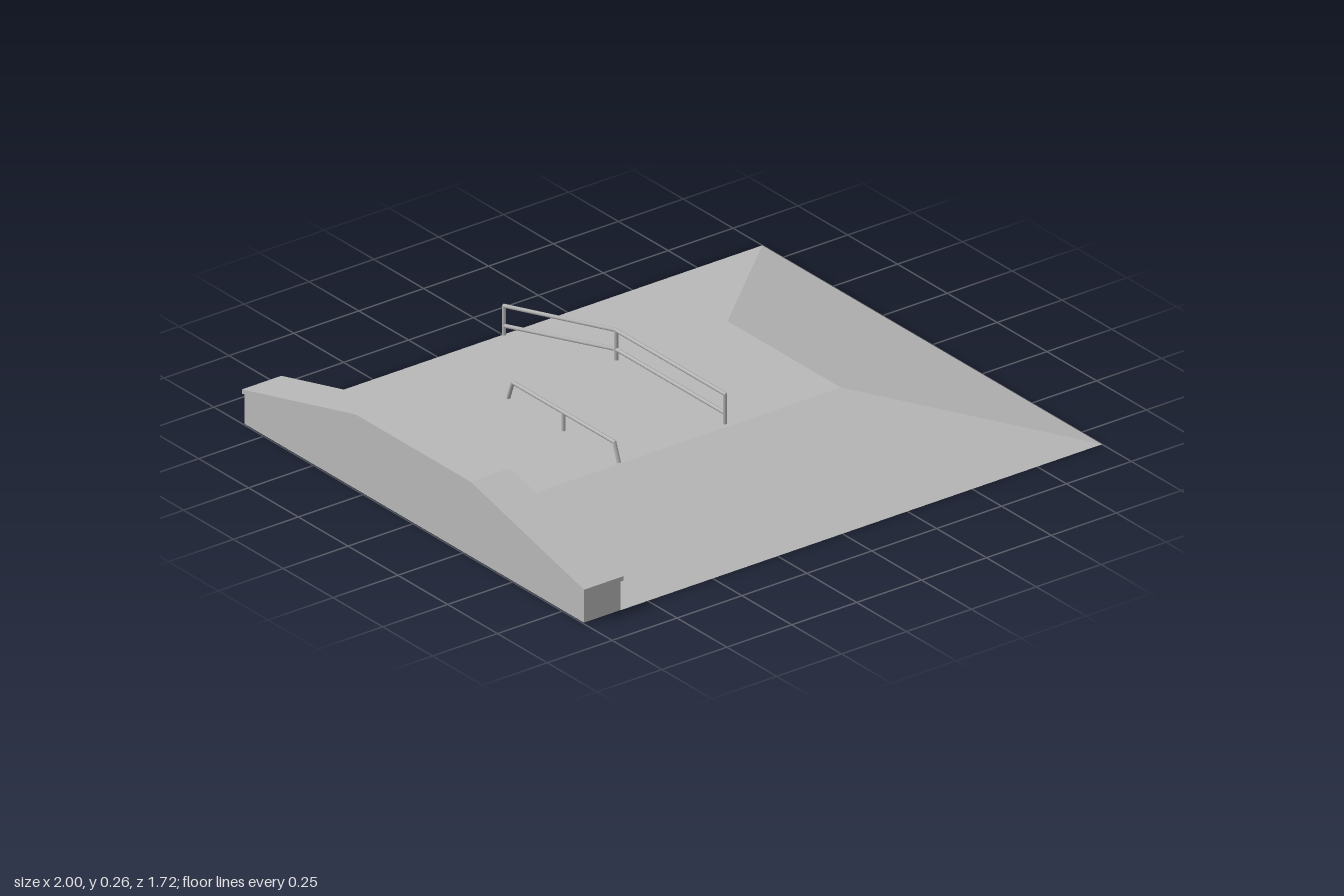
import * as THREE from 'three';

export function createModel() {
  const group = new THREE.Group();
  const concrete = new THREE.MeshStandardMaterial({ color: 0xb8b8b8, side: THREE.DoubleSide });
  concrete.name = 'concrete';
  const steel = new THREE.MeshStandardMaterial({ color: 0xb0b0b0 });
  steel.name = 'steel';

  const add = (name, geometry, material, parent = group) => {
    const mesh = new THREE.Mesh(geometry, material);
    mesh.name = name;
    parent.add(mesh);
    return mesh;
  };

  // Ramp: open-bottomed shell with a flat deck and three slopes
  const W = 0.853, D = 0.285, H = 0.142, XL = -0.853, XD = 0.43;
  const A = [XL, 0, W], B = [1, 0, W], C = [1, 0, -W], E = [XL, 0, -W];
  const a = [XL, H, D], b = [XD, H, D], c = [XD, H, -D], e = [XL, H, -D];
  const corners = [];
  for (const [p, q, r, s] of [[A, B, b, a], [B, C, c, b], [C, E, e, c], [a, b, c, e]]) {
    corners.push(...p, ...q, ...r, ...p, ...r, ...s);
  }
  const ramp = new THREE.BufferGeometry();
  ramp.setAttribute('position', new THREE.Float32BufferAttribute(corners, 3));
  ramp.computeVertexNormals();
  add('ramp', ramp, concrete);

  // Ledge pieces: a (z, y) outline extruded across x
  const slab = (outline, x0, x1) => {
    const shape = new THREE.Shape(outline.map(([z, y]) => new THREE.Vector2(z, y)));
    const geo = new THREE.ExtrudeGeometry(shape, { depth: x1 - x0, bevelEnabled: false });
    return geo.rotateY(-Math.PI / 2).translate(x1, 0, 0);
  };
  const ledge = new THREE.Group();
  ledge.name = 'ledge';
  group.add(ledge);
  add('ledgeBody', slab([[-0.852, 0], [0.852, 0], [0.852, 0.104], [0.288, 0.245],
    [-0.288, 0.245], [-0.852, 0.104]], -0.995, -0.854), concrete, ledge);
  add('ledgeCap', slab([[-0.859, 0.102], [-0.288, 0.244], [0.288, 0.244], [0.859, 0.102],
    [0.859, 0.117], [0.288, 0.259], [-0.288, 0.259], [-0.859, 0.117]], -1, -0.848), concrete, ledge);

  // Rails: round bars through (z, y) points, with a ball at each joint
  const R = 0.0065;
  const bar = (name, x, points, parent) => {
    const pts = points.map(([z, y]) => new THREE.Vector3(x, y, z));
    pts.forEach((p, i) => {
      if (i === 0) return;
      const dir = p.clone().sub(pts[i - 1]);
      const mesh = add(name, new THREE.CylinderGeometry(R, R, dir.length(), 10), steel, parent);
      mesh.position.copy(p).add(pts[i - 1]).multiplyScalar(0.5);
      mesh.quaternion.setFromUnitVectors(new THREE.Vector3(0, 1, 0), dir.normalize());
      if (i < pts.length - 1) {
        add(name + 'Joint', new THREE.SphereGeometry(R, 10, 6), steel, parent).position.copy(p);
      }
    });
  };

  // Handrail across the deck and down the back slope
  const handrail = new THREE.Group();
  handrail.name = 'handrail';
  group.add(handrail);
  bar('topRail', 0, [[0.263, H], [0.263, 0.243], [-0.285, 0.243], [-0.846, 0.102], [-0.846, 0]], handrail);
  bar('lowerRail', 0, [[0.263, 0.178], [-0.285, 0.178], [-0.846, 0.034]], handrail);
  bar('middlePost', 0, [[-0.283, H], [-0.283, 0.243]], handrail);

  // Low grind rail with splayed legs
  const grindRail = new THREE.Group();
  grindRail.name = 'grindRail';
  group.add(grindRail);
  bar('grindBar', -0.42, [[0.278, H], [0.255, 0.204], [-0.255, 0.204], [-0.278, H]], grindRail);
  bar('grindPost', -0.42, [[0, H], [0, 0.204]], grindRail);

  return group;
}
